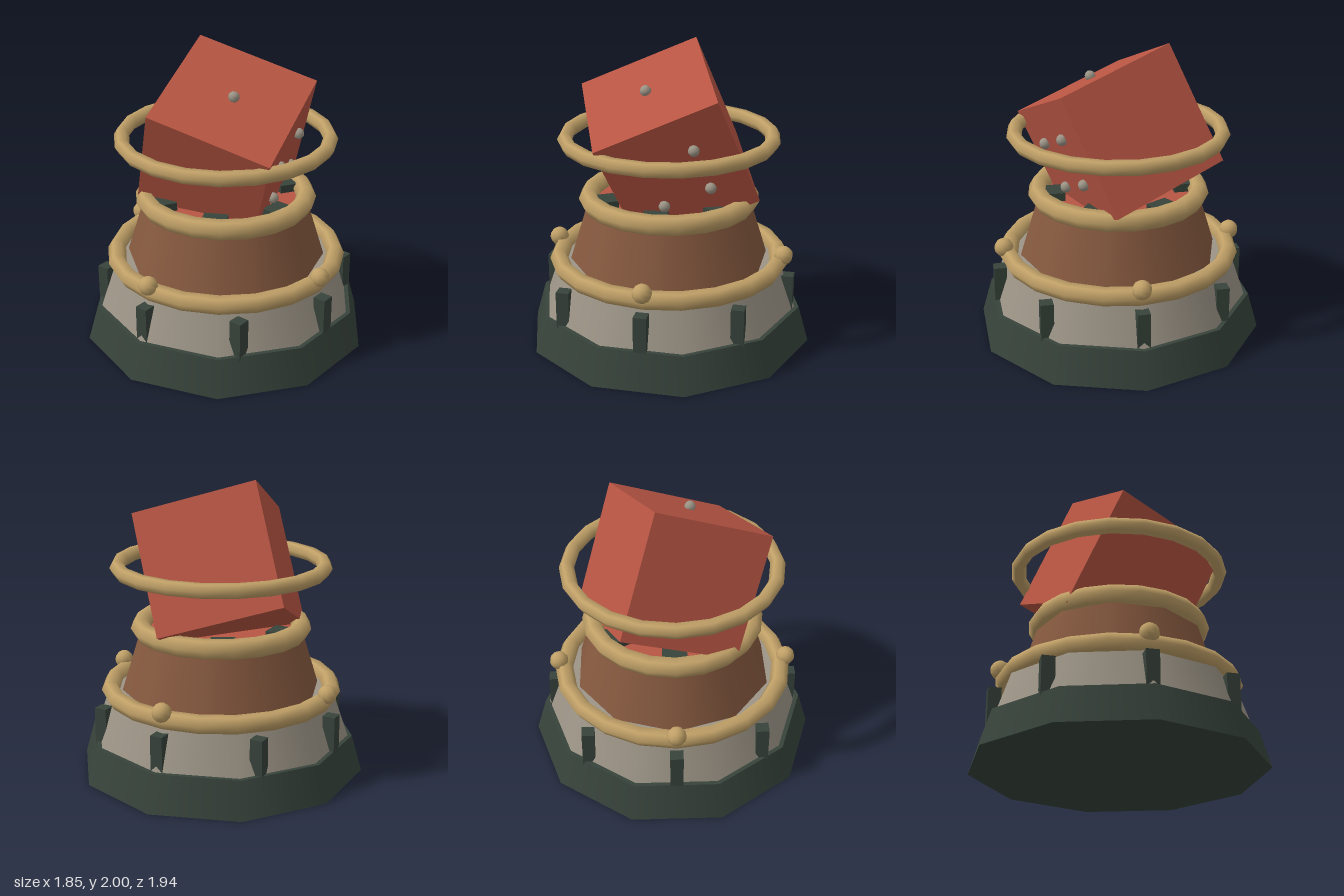
import * as THREE from 'three';

const mat = (name, color) => {
  const m = new THREE.MeshStandardMaterial({ color });
  m.name = name;
  return m;
};

export function createModel() {
  const darkGreen = mat('dark green', 0x37433b);
  const stone = mat('warm grey', 0x9c9486);
  const brown = mat('brown', 0x86593f);
  const gold = mat('gold', 0xc0a067);
  const red = mat('red', 0xb85543);

  const model = new THREE.Group();
  model.name = 'cubeOnPedestal';

  const add = (name, geometry, material, x = 0, y = 0, z = 0, parent = model) => {
    const mesh = new THREE.Mesh(geometry, material);
    mesh.name = name;
    mesh.position.set(x, y, z);
    parent.add(mesh);
    return mesh;
  };

  // Ten-sided tier between two heights
  const tier = (name, rTop, rBottom, y0, y1, material) =>
    add(name, new THREE.CylinderGeometry(rTop, rBottom, y1 - y0, 10), material, 0, (y0 + y1) / 2, 0);

  // Pedestal; the upper tier is turned by half a side
  tier('base', 0.9, 0.97, 0, 0.245, darkGreen);
  tier('lowerTier', 0.765, 0.87, 0.245, 0.55, stone);
  tier('upperTier', 0.55, 0.67, 0.55, 0.94, brown).rotation.y = Math.PI / 10;
  add('socketFloor', new THREE.CylinderGeometry(0.49, 0.49, 0.02, 20), red, 0, 0.945, 0);

  // Rings: radius, tube, height
  const rings = { lowerRing: [0.75, 0.061, 0.557], collarRing: [0.54, 0.067, 0.98], floatingRing: [0.688, 0.05, 1.397] };
  for (const [name, [r, tube, y]] of Object.entries(rings)) {
    add(name, new THREE.TorusGeometry(r, tube, 6, 20), gold, 0, y, 0).rotation.x = Math.PI / 2;
  }

  // Square posts around the lower tier
  const postGeo = new THREE.BoxGeometry(0.085, 0.27, 0.085);
  for (let i = 0; i < 8; i++) {
    const a = (i * Math.PI) / 4;
    add('post', postGeo, darkGreen, Math.sin(a) * 0.815, 0.345, Math.cos(a) * 0.815);
  }

  // Balls on the lower ring
  const ballGeo = new THREE.SphereGeometry(0.064, 10, 8);
  for (let i = 0; i < 4; i++) {
    const a = (i * Math.PI) / 2;
    add('ringBall', ballGeo, gold, Math.sin(a) * 0.783, 0.615, Math.cos(a) * 0.783);
  }

  // Blocks inside the collar
  const blockGeo = new THREE.BoxGeometry(0.16, 0.08, 0.12);
  for (let i = 0; i < 6; i++) {
    const a = Math.PI / 6 + (i * Math.PI) / 3;
    add('socketBlock', blockGeo, darkGreen, Math.sin(a) * 0.43, 0.97, Math.cos(a) * 0.43).rotation.y = a;
  }

  // Tilted cube with studs on two faces
  const cube = new THREE.Group();
  cube.name = 'tiltedCube';
  const xAxis = new THREE.Vector3(0.894, -0.278, -0.343).normalize();
  const zAxis = new THREE.Vector3(0.229, -0.379, 0.897).normalize();
  const yAxis = new THREE.Vector3().crossVectors(zAxis, xAxis).normalize();
  zAxis.crossVectors(xAxis, yAxis);
  cube.quaternion.setFromRotationMatrix(new THREE.Matrix4().makeBasis(xAxis, yAxis, zAxis));
  cube.position.set(0, 1.362, 0);
  model.add(cube);
  add('cubeBody', new THREE.BoxGeometry(0.83, 0.83, 0.83), red, 0, 0, 0, cube);
  const studGeo = new THREE.SphereGeometry(0.038, 8, 6);
  add('topStud', studGeo, stone, 0, 0.43, 0, cube);
  for (const sy of [-1, 1]) {
    for (const sz of [-1, 1]) add('sideStud', studGeo, stone, 0.43, sy * 0.16, sz * 0.16, cube);
  }

  return model;
}
